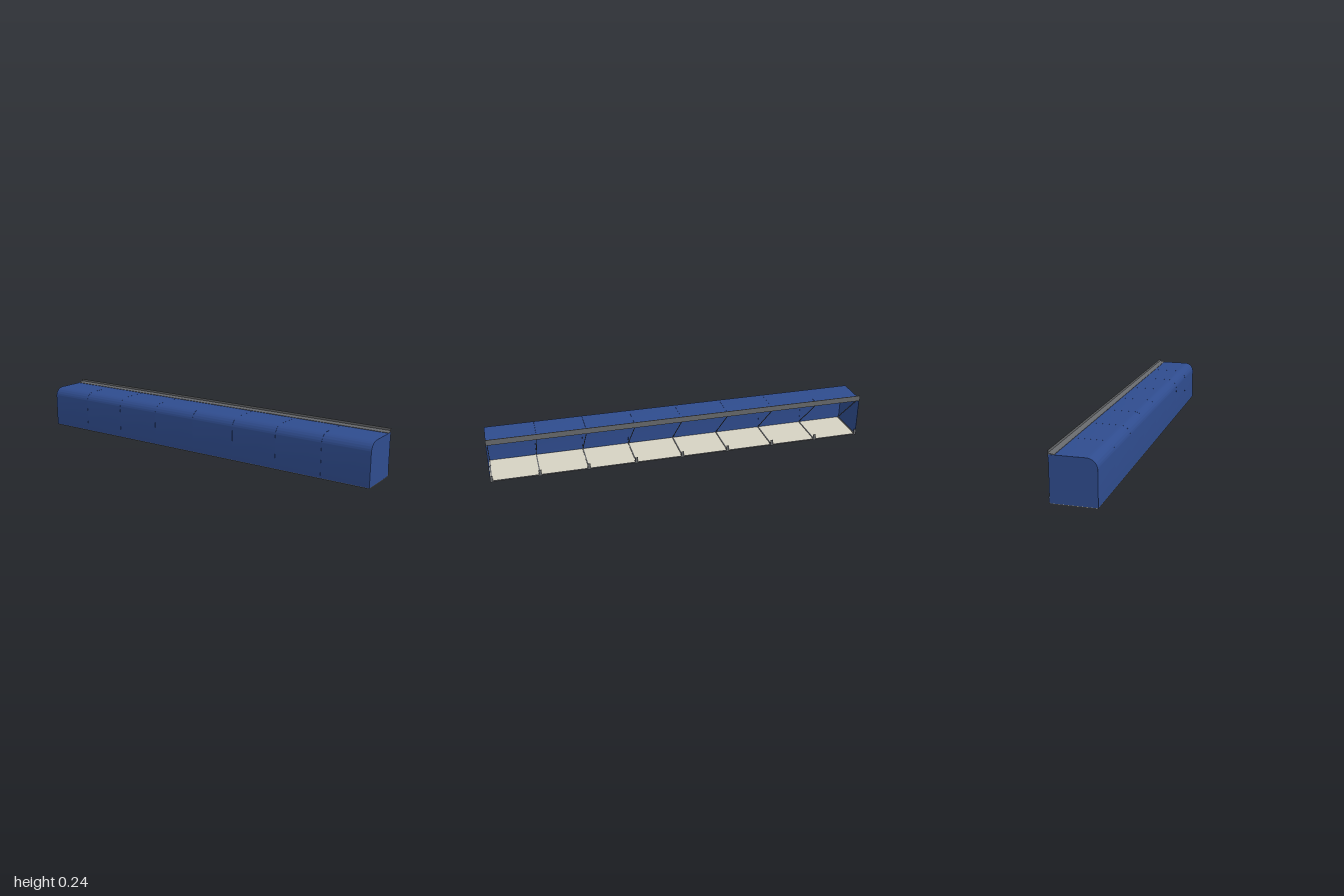
import * as THREE from 'three';
import { toCreasedNormals } from 'three/addons/utils/BufferGeometryUtils.js';

const mat = (name, color) => new THREE.MeshStandardMaterial({ name, color });

const BAYS = 8, BAY = 2 / BAYS;
const FRONT = 0.11, BACK = -0.107, TOP = 0.221, BASE = 0.004, RADIUS = 0.05, SKIN = 0.002;

// Extrudes a (z, y) section along x, centred on x
function extrudeX(shape, length, x = 0) {
  const geo = new THREE.ExtrudeGeometry(shape, { depth: length, bevelEnabled: false, curveSegments: 12 });
  geo.translate(0, 0, -length / 2).rotateY(-Math.PI / 2).translate(x, 0, 0);
  return toCreasedNormals(geo, 0.5);
}

// Full outline of the box section with its rounded upper front corner
function endShape() {
  const s = new THREE.Shape();
  s.moveTo(BACK, BASE);
  s.lineTo(FRONT, BASE);
  s.lineTo(FRONT, TOP - RADIUS);
  s.absarc(FRONT - RADIUS, TOP - RADIUS, RADIUS, 0, Math.PI / 2, false);
  s.lineTo(BACK, TOP);
  s.closePath();
  return s;
}

// Thin bent sheet: front wall, rounded corner and top
function skinShape() {
  const s = new THREE.Shape(), cz = FRONT - RADIUS, cy = TOP - RADIUS;
  s.moveTo(FRONT, BASE);
  s.lineTo(FRONT, cy);
  s.absarc(cz, cy, RADIUS, 0, Math.PI / 2, false);
  s.lineTo(BACK, TOP);
  s.lineTo(BACK, TOP - SKIN);
  s.lineTo(cz, TOP - SKIN);
  s.absarc(cz, cy, RADIUS - SKIN, Math.PI / 2, 0, true);
  s.lineTo(FRONT - SKIN, BASE);
  s.closePath();
  return s;
}

export function createModel() {
  const group = new THREE.Group();
  group.name = 'coverBox';
  const blue = mat('blueSheet', 0x2f4c8e);
  const beige = mat('beigePanel', 0xd6d2c2);
  const grey = mat('greyMetal', 0x66686b);

  const add = (name, geo, material) => {
    const mesh = new THREE.Mesh(geo, material);
    mesh.name = name;
    group.add(mesh);
    return mesh;
  };
  const box = (name, w, h, d, x, y, z, material) =>
    add(name, new THREE.BoxGeometry(w, h, d).translate(x, y, z), material);

  // Bent cover sheets and floor panels, one per bay
  for (let i = 0; i < BAYS; i++) {
    const x = -1 + BAY * (i + 0.5);
    add('coverSheet', extrudeX(skinShape(), BAY - 0.0006, x), blue);
    box('floorPanel', BAY - 0.001, 0.004, 0.212, x, 0.003, 0.002, beige);
  }

  // End plates
  for (const side of [-1, 1]) add('endPlate', extrudeX(endShape(), SKIN, side * (1 - SKIN / 2)), blue);

  // Floor edge bars
  box('frontEdgeBar', 2, 0.005, 0.003, 0, 0.0025, FRONT - 0.002, grey);
  box('rearEdgeBar', 2, 0.006, 0.004, 0, 0.003, -0.105, grey);

  // Cross bar, wall bracket and diagonal brace at each station
  const dz = 0.207, dy = 0.208;
  for (let i = 0; i <= BAYS; i++) {
    const x = THREE.MathUtils.clamp(-1 + BAY * i, -0.993, 0.993);
    box('crossBar', 0.006, 0.004, 0.21, x, 0.006, 0.001, grey);
    box('bracketPlate', 0.014, 0.034, 0.003, x, 0.017, -0.1085, grey);
    box('bracketFoot', 0.014, 0.003, 0.016, x, 0.0085, -0.1, grey);
    const brace = box('diagonalBrace', 0.003, 0.003, Math.hypot(dz, dy), 0, 0, 0, grey);
    brace.position.set(x, 0.113, 0.001);
    brace.rotation.x = Math.atan2(dy, dz);
  }

  // Wall rail: upright plate with a sloping flashing lip over the cover
  box('railPlate', 2, 0.03, 0.003, 0, 0.225, -0.1085, grey);
  const lip = new THREE.Shape([
    [-0.108, 0.225], [-0.108, 0.2215], [-0.08, 0.2215], [-0.08, 0.2235], [-0.104, 0.227], [-0.108, 0.229],
  ].map(([z, y]) => new THREE.Vector2(z, y)));
  add('railLip', extrudeX(lip, 2), grey);

  return group;
}
